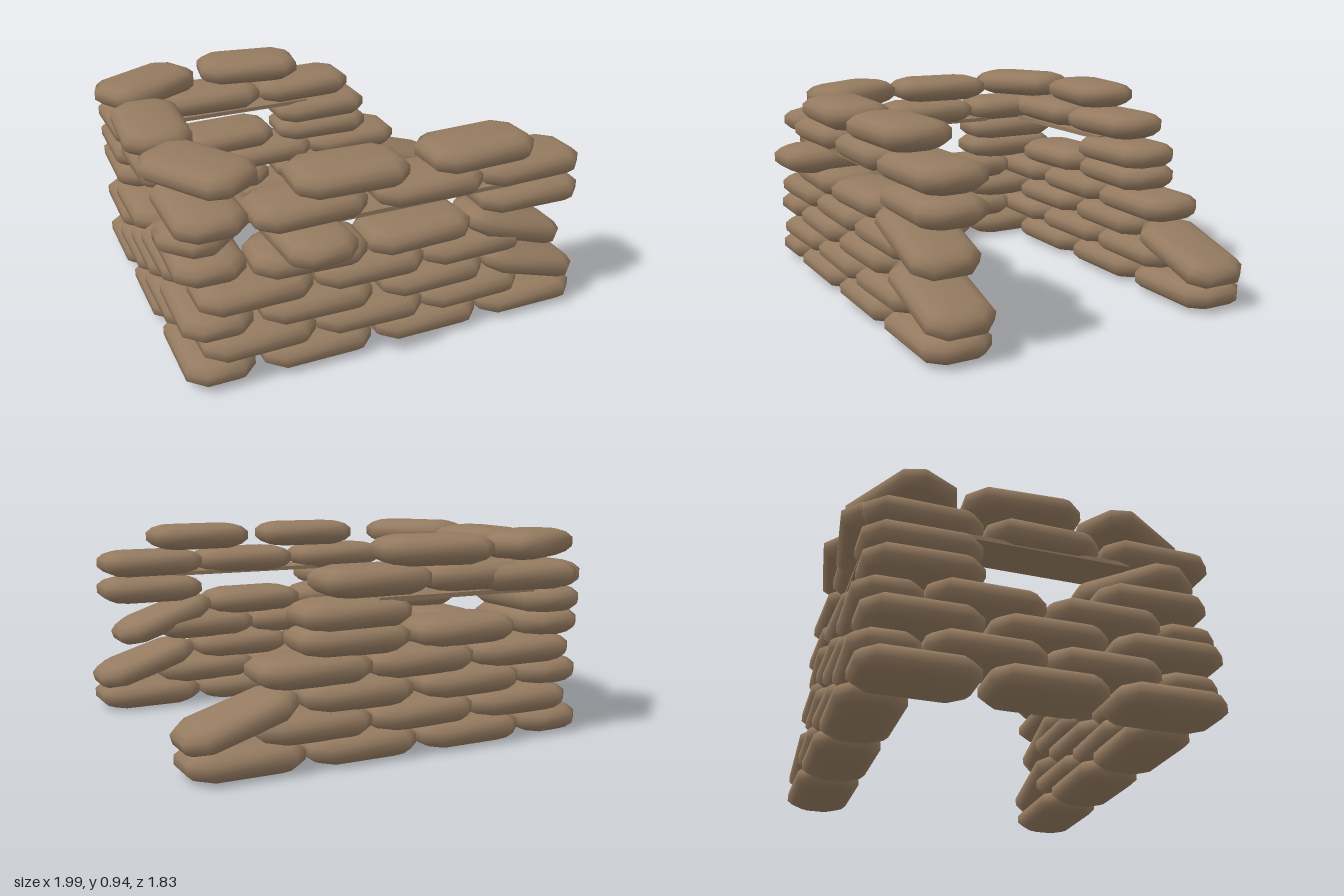
import * as THREE from 'three';

// Pillow-like bag: stacked octagonal loops closed by a slightly raised centre
function bagGeometry(len, height, width) {
  const loops = [[-0.5, 0.07], [-0.36, 0.028], [-0.16, 0], [0.16, 0], [0.36, 0.028], [0.47, 0.07]];
  const pos = [0, -height / 2, 0], index = [];
  for (const [level, inset] of loops) {
    const a = len / 2 - inset, b = width / 2 - inset * 0.9, c = 0.07 - inset * 0.35;
    const outline = [[a, b - c], [a - c, b], [c - a, b], [-a, b - c], [-a, c - b], [c - a, -b], [a - c, -b], [a, c - b]];
    for (const [x, z] of outline) pos.push(x, level * height, z);
  }
  const top = pos.length / 3;
  pos.push(0, height / 2, 0);
  for (let j = 0; j < 8; j++) {
    const k = (j + 1) % 8;
    index.push(0, 1 + j, 1 + k);
    for (let i = 0; i < loops.length - 1; i++) {
      const p = 1 + i * 8, q = p + 8;
      index.push(p + j, q + j, p + k, p + k, q + j, q + k);
    }
    const last = 1 + (loops.length - 1) * 8;
    index.push(top, last + k, last + j);
  }
  const g = new THREE.BufferGeometry();
  g.setAttribute('position', new THREE.Float32BufferAttribute(pos, 3));
  g.setIndex(index);
  g.computeVertexNormals();
  return g;
}

export function createModel() {
  const model = new THREE.Group();
  const burlap = new THREE.MeshStandardMaterial({ color: 0x947a60 });
  burlap.name = 'burlap brown';
  const bag = bagGeometry(0.51, 0.128, 0.31);
  const rowY = [0.06, 0.17, 0.285, 0.4, 0.515, 0.62, 0.735, 0.86];
  const walls = {};
  for (const name of ['frontWall', 'backWall', 'sideWall']) {
    walls[name] = new THREE.Group();
    walls[name].name = name;
    model.add(walls[name]);
  }

  function addBag(wall, x, y, z, turn = 0, tilt = 0) {
    const m = new THREE.Mesh(bag, burlap);
    m.name = 'sandbag';
    m.position.set(x, y, z);
    m.rotation.set(0, turn, tilt);
    walls[wall].add(m);
  }

  // Front and back walls: bag centres along x for every row
  const frontRows = [
    [-0.33, 0.21, 0.74], [-0.6, -0.08, 0.43], [-0.33, 0.23], [-0.61, -0.08, 0.43],
    [-0.36, 0.155], [0.715], [-0.36, 0.2, 0.71], [-0.18, 0.44],
  ];
  const backRows = [
    [-0.33, 0.21, 0.74], [-0.6, -0.08, 0.43], [-0.33, 0.23], [-0.61, -0.08, 0.43],
    [-0.3, 0.25], [0.24], [-0.37, 0.14], [-0.14],
  ];
  const wobble = [0, 0.02, -0.02, 0.015, -0.04, -0.02, 0.03, -0.04];
  frontRows.forEach((row, r) => row.forEach((x, i) =>
    addBag('frontWall', x, rowY[r] - (r === 5 ? 0.02 : 0), r === 7 ? 0.635 : 0.61, wobble[r] * (i % 2 ? -1 : 1))));
  backRows.forEach((row, r) => row.forEach((x, i) =>
    addBag('backWall', x, rowY[r] + (r === 7 ? 0.015 : r === 6 ? 0.02 : 0), r === 7 ? -0.74 : -0.7,
      r === 7 ? -0.15 : wobble[r] * (i % 2 ? 1 : -1))));

  // Slumped bags at the open ends
  addBag('frontWall', 0.76, 0.22, 0.6, 0, -0.3);
  addBag('frontWall', 0.655, 0.44, 0.61, 0, -0.33);
  addBag('backWall', 0.76, 0.22, -0.7, 0, -0.3);

  // Bag laid crosswise beside the front opening
  addBag('frontWall', -0.375, 0.62, 0.65, Math.PI / 2 + 0.06);

  // Side wall: bag centres along z for every row
  const sideRows = [
    [0.5, -0.045, -0.585], [0.2, -0.31], [0.5, -0.04, -0.575], [0.21, -0.31],
    [0.44, -0.575], [-0.585], [0.47, -0.06, -0.585], [-0.155],
  ];
  sideRows.forEach((row, r) => row.forEach((z) =>
    addBag('sideWall', r === 7 ? -0.81 : -0.78, rowY[r], z, Math.PI / 2 + (r === 7 ? -0.06 : wobble[r] / 2))));

  // Turned corner bags
  addBag('sideWall', -0.73, 0.625, 0.41, 0.75);
  addBag('sideWall', -0.75, 0.865, 0.385, -1.0);
  addBag('sideWall', -0.71, 0.875, -0.655, 0.5);
  addBag('sideWall', -0.6, 0.745, -0.74, -0.12);

  // Thin lintel boards over the three openings
  const addBoard = (wall, x, z, sx, sz) => {
    const m = new THREE.Mesh(new THREE.BoxGeometry(sx, 0.02, sz), burlap);
    m.name = 'lintelBoard';
    m.position.set(x, 0.677, z);
    walls[wall].add(m);
  };
  addBoard('frontWall', 0.1, 0.61, 1.0, 0.2);
  addBoard('backWall', -0.25, -0.7, 0.8, 0.2);
  addBoard('sideWall', -0.78, -0.07, 0.2, 0.8);

  return model;
}
